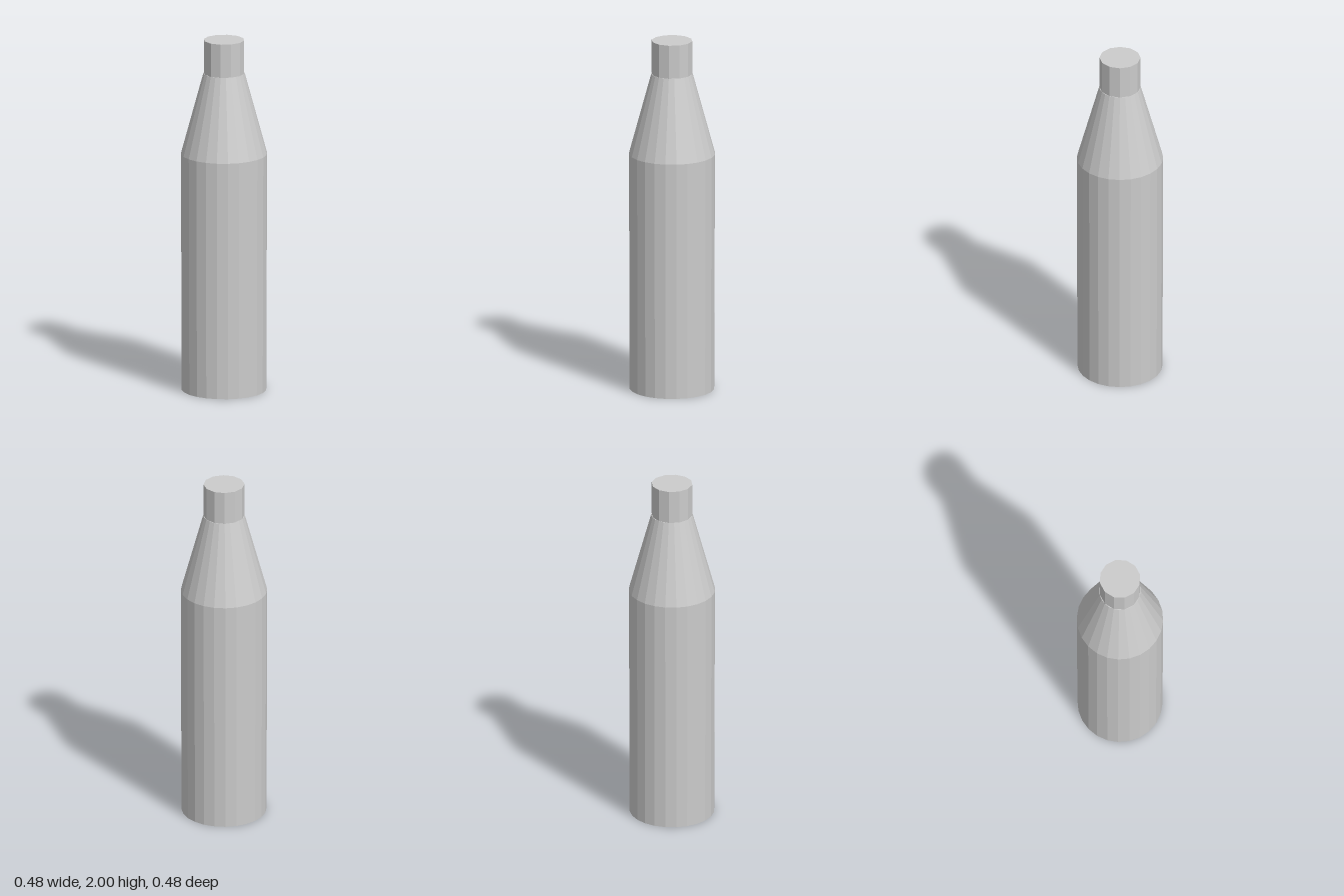
import * as THREE from 'three';

export function createModel() {
  const group = new THREE.Group();
  group.name = 'bottle';
  const material = new THREE.MeshStandardMaterial({ color: 0xcccccc, flatShading: true });

  // One faceted, tapered section between two heights; caps only on the ends of the bottle
  function section(name, y0, r0, y1, r1, sides, turn, openEnded) {
    const geometry = new THREE.CylinderGeometry(r1, r0, y1 - y0, sides, 1, openEnded);
    geometry.rotateY(turn);
    geometry.translate(0, (y0 + y1) / 2, 0);
    const mesh = new THREE.Mesh(geometry, material);
    mesh.name = name;
    group.add(mesh);
  }

  section('body', 0, 0.236, 1.35, 0.24, 24, 0, false);
  section('shoulder', 1.35, 0.24, 1.81, 0.115, 24, 0, false);
  section('neck', 1.805, 0.114, 2, 0.114, 12, Math.PI / 12, false);

  return group;
}
